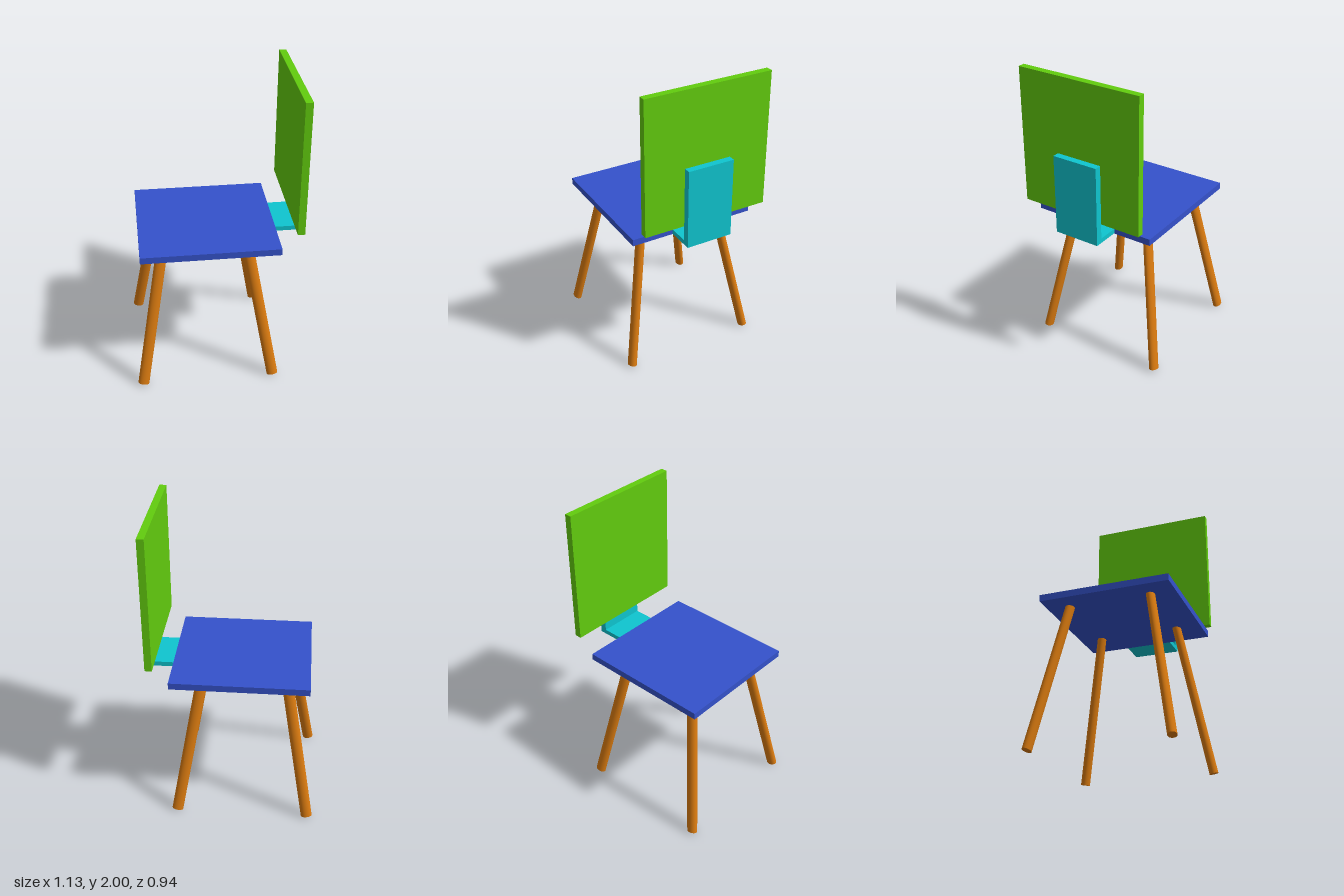
import * as THREE from 'three';

export function createModel() {
  const model = new THREE.Group();
  model.name = 'chair';

  const material = (name, color) => {
    const m = new THREE.MeshStandardMaterial({ color });
    m.name = name;
    return m;
  };
  const blue = material('blue', 0x3552cb);
  const green = material('green', 0x62cc0e);
  const cyan = material('cyan', 0x0fc5cf);
  const orange = material('orange', 0xd97a10);

  const add = (name, geometry, mat) => {
    const mesh = new THREE.Mesh(geometry, mat);
    mesh.name = name;
    model.add(mesh);
    return mesh;
  };

  // Box given by its low and high limits on each axis
  const slab = (name, mat, [x0, x1], [y0, y1], [z0, z1]) =>
    add(name, new THREE.BoxGeometry(x1 - x0, y1 - y0, z1 - z0), mat)
      .position.set((x0 + x1) / 2, (y0 + y1) / 2, (z0 + z1) / 2);

  slab('seat', blue, [-0.513, 0.379], [0.975, 1.019], [-0.415, 0.433]);
  slab('backrest', green, [0.473, 0.519], [1.11, 2], [-0.424, 0.422]);

  // L-shaped bracket joining the seat to the backrest
  const profile = new THREE.Shape([
    [0.375, 0.979], [0.564, 0.979], [0.564, 1.504],
    [0.519, 1.504], [0.519, 1.01], [0.375, 1.01],
  ].map(([x, y]) => new THREE.Vector2(x, y)));
  const bracket = new THREE.ExtrudeGeometry(profile, { depth: 0.31, bevelEnabled: false });
  add('backBracket', bracket, cyan).position.z = -0.155;

  // Splayed legs with a slightly oval section
  const up = new THREE.Vector3(0, 1, 0);
  const legs = [[-0.53, -0.364, 'right'], [0.346, 0.178, 'left']];
  for (const [footX, topX, sideName] of legs) {
    for (const s of [1, -1]) {
      const foot = new THREE.Vector3(footX, 0.012, 0.441 * s);
      const top = new THREE.Vector3(topX, 0.985, 0.268 * s);
      const axis = top.clone().sub(foot);
      const name = (s > 0 ? 'front' : 'back') + (sideName === 'left' ? 'LeftLeg' : 'RightLeg');
      const leg = add(name, new THREE.CylinderGeometry(1, 1, 1, 32), orange);
      leg.scale.set(0.037, axis.length(), 0.028);
      leg.position.copy(foot).add(top).multiplyScalar(0.5);
      leg.quaternion.setFromUnitVectors(up, axis.normalize());
    }
  }

  return model;
}
